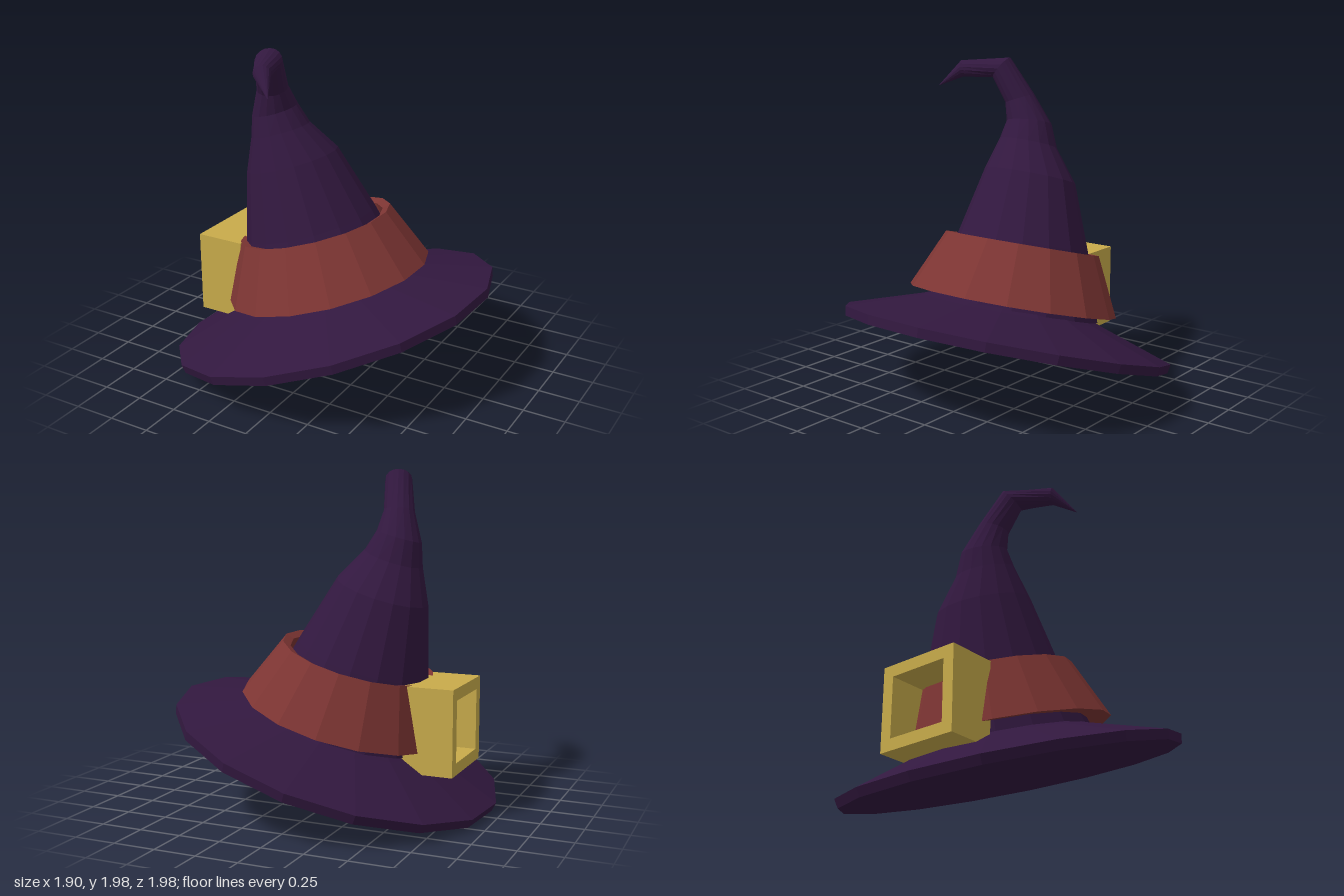
import * as THREE from 'three';

const SIDES = 16;
const TILT = 0.305; // the whole hat leans toward -x
const UP = [-Math.sin(TILT), Math.cos(TILT), 0];

const paint = (color) => new THREE.MeshStandardMaterial({ color, flatShading: true });
const v = (a) => new THREE.Vector3(...a);

function addMesh(parent, name, geometry, material) {
  const mesh = new THREE.Mesh(geometry, material);
  mesh.name = name;
  parent.add(mesh);
  return mesh;
}

// Faceted solid of revolution from [radius, height] pairs
function turned(profile, startDegrees) {
  const points = profile.map(([r, h]) => new THREE.Vector2(r, h));
  return new THREE.LatheGeometry(points, SIDES, THREE.MathUtils.degToRad(startDegrees));
}

// Skin over rings, each given as [centre, radius, direction]
function skin(rings) {
  const positions = [];
  const index = [];
  rings.forEach(([centre, radius, direction], i) => {
    const n = v(direction).normalize();
    const a = new THREE.Vector3(1, 0, 0).addScaledVector(n, -n.x).normalize();
    const b = a.clone().cross(n);
    for (let j = 0; j < SIDES; j++) {
      const t = ((j + 0.45) / SIDES) * Math.PI * 2;
      const p = v(centre)
        .addScaledVector(a, radius * Math.cos(t))
        .addScaledVector(b, radius * Math.sin(t));
      positions.push(p.x, p.y, p.z);
      if (i === rings.length - 1) continue;
      const k = (j + 1) % SIDES;
      const low = i * SIDES;
      const high = low + SIDES;
      index.push(low + j, high + j, low + k, high + j, high + k, low + k);
    }
  });
  const geometry = new THREE.BufferGeometry();
  geometry.setAttribute('position', new THREE.Float32BufferAttribute(positions, 3));
  geometry.setIndex(index);
  geometry.computeVertexNormals();
  return geometry;
}

export function createModel() {
  const hat = new THREE.Group();
  hat.name = 'pointedHat';
  const cloth = paint(0x32183f);
  const leather = paint(0x7d3533);
  const brass = paint(0xc8ab4b);

  // Brim and band share the lean
  const base = new THREE.Group();
  base.name = 'brimAndBand';
  base.position.set(0.007, 0.305, 0);
  base.rotation.z = TILT;
  hat.add(base);

  addMesh(base, 'brim',
    turned([[0, 0], [0.99, 0], [1, 0.055], [0.55, 0.2], [0.45, 0.24]], 7.5), cloth);

  // Flared band, hollow at the top so it stands off the crown
  const band = addMesh(base, 'band',
    turned([[0.5, 0.27], [0.64, 0.255], [0.475, 0.607], [0.425, 0.59], [0.46, 0.4]], 10), leather);
  band.position.set(0.015, 0, -0.01);
  band.rotation.z = -0.03;
  band.scale.x = 0.965;
  band.material.side = THREE.DoubleSide;

  // Crooked crown, ending in a drooping tip
  addMesh(hat, 'crown', skin([
    [[-0.07, 0.505, 0], 0.52, UP],
    [[-0.172, 0.895, 0], 0.4, UP],
    [[-0.277, 1.285, 0.03], 0.28, UP],
    [[-0.325, 1.475, 0.08], 0.178, UP],
    [[-0.352, 1.6, 0.095], 0.138, [-0.25, 0.95, 0.08]],
    [[-0.33, 1.745, 0.15], 0.092, [0.05, 0.95, 0.3]],
    [[-0.285, 1.93, 0.255], 0.08, [0.25, 0.65, 0.72]],
    [[-0.18, 1.92, 0.48], 0.051, [0.4, -0.1, 0.9]],
    [[-0.08, 1.82, 0.58], 0.002, [0.5, -0.5, 0.6]],
  ]), cloth);

  // Deep square buckle, open through its middle
  const frame = new THREE.Shape([
    [-0.255, -0.25], [0.255, -0.25], [0.255, 0.25], [-0.255, 0.25],
  ].map((p) => new THREE.Vector2(...p)));
  frame.holes.push(new THREE.Path([
    [-0.185, -0.18], [-0.185, 0.18], [0.185, 0.18], [0.185, -0.18],
  ].map((p) => new THREE.Vector2(...p))));
  const buckle = addMesh(hat, 'buckle',
    new THREE.ExtrudeGeometry(frame, { depth: 0.3, bevelEnabled: false }), brass);
  buckle.rotation.y = -Math.PI / 2;
  buckle.position.set(-0.5, 0.53, 0.025);

  return hat;
}
